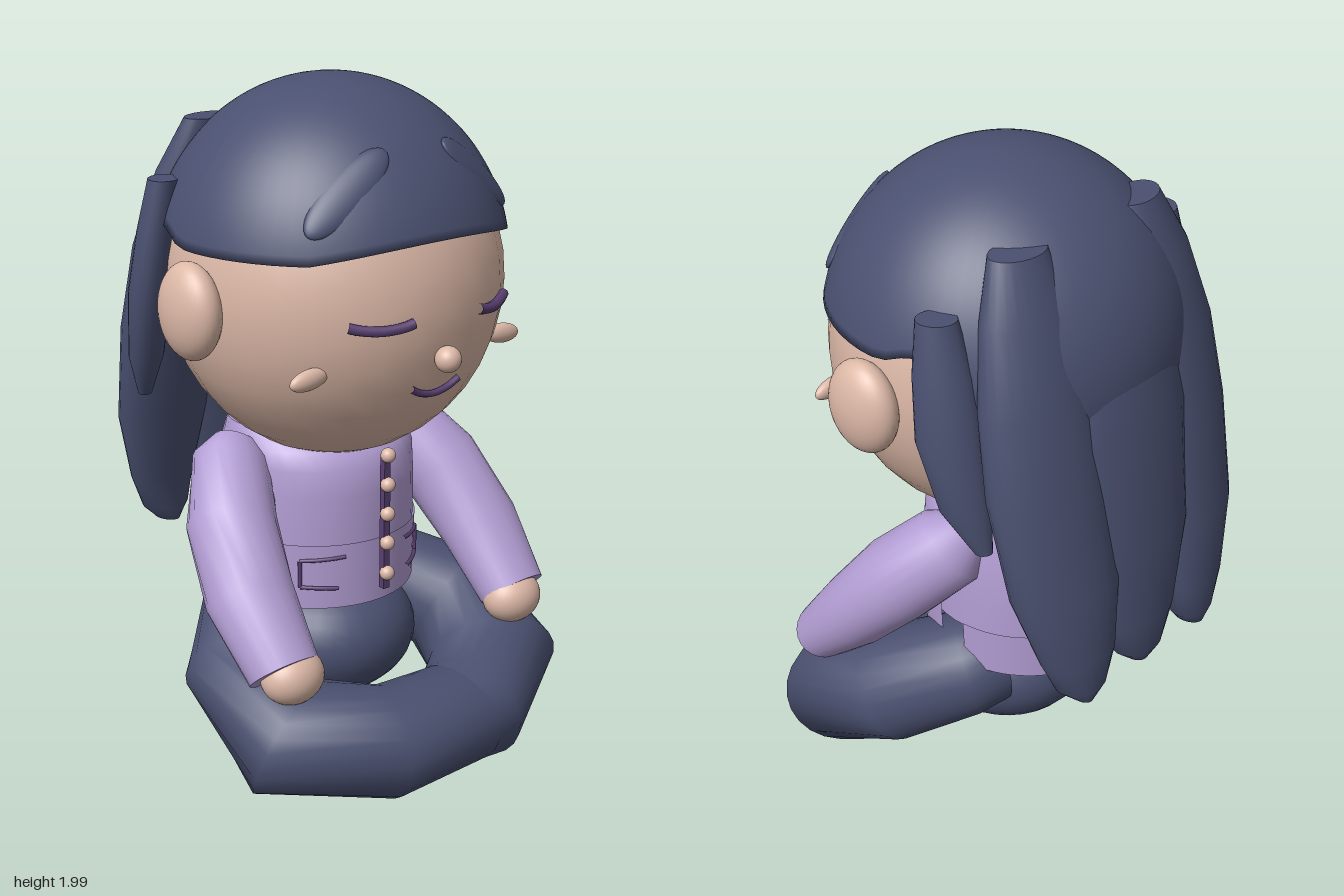
import * as THREE from 'three';

const mat = (name, color, side = THREE.FrontSide) => {
  const m = new THREE.MeshStandardMaterial({ color, side });
  m.name = name;
  return m;
};
const navy = mat('navy', 0x4a5070);
const skin = mat('skin', 0xdcb8a7);
const lilac = mat('lilac', 0xb39ed4, THREE.DoubleSide);
const plum = mat('plum', 0x583f70);
const V = (x, y, z) => new THREE.Vector3(x, y, z);

// Skin elliptical sections [x, y, z, a, b]. With a yaw the rings stay level,
// otherwise they turn to follow the path.
function loft(sections, yaw = null, sides = 24) {
  const pos = [], index = [];
  const centres = sections.map(s => V(s[0], s[1], s[2]));
  const n = sections.length;
  const rings = sections.map(([, , , a, b], i) => {
    const t = yaw !== null ? V(0, Math.sign(centres[n - 1].y - centres[0].y), 0) : V(0, 0, 0);
    if (yaw === null) {
      if (i > 0) t.add(centres[i].clone().sub(centres[i - 1]).normalize());
      if (i < n - 1) t.add(centres[i + 1].clone().sub(centres[i]).normalize());
      t.normalize();
    }
    const u = yaw !== null ? V(Math.cos(yaw), 0, Math.sin(yaw)) : t.clone().cross(V(0, 1, 0)).normalize();
    const v = t.clone().cross(u);
    return Array.from({ length: sides }, (_, j) => {
      const q = (j / sides) * Math.PI * 2;
      return centres[i].clone().addScaledVector(u, a * Math.cos(q)).addScaledVector(v, b * Math.sin(q));
    });
  });
  const push = p => pos.push(p.x, p.y, p.z);
  rings.forEach(r => r.forEach(push));
  for (let i = 0; i < n - 1; i++) {
    for (let j = 0; j < sides; j++) {
      const k = (j + 1) % sides, A = i * sides, B = A + sides;
      index.push(A + j, A + k, B + j, A + k, B + k, B + j);
    }
  }
  // end caps
  [0, n - 1].forEach(e => {
    const base = pos.length / 3;
    rings[e].forEach(push);
    push(centres[e]);
    for (let j = 0; j < sides; j++) {
      const k = (j + 1) % sides;
      if (e === 0) index.push(base + sides, base + k, base + j);
      else index.push(base + sides, base + j, base + k);
    }
  });
  const g = new THREE.BufferGeometry();
  g.setAttribute('position', new THREE.Float32BufferAttribute(pos, 3));
  g.setIndex(index);
  g.computeVertexNormals();
  return g;
}

// Hair cap: a sphere cut off along a wavy hairline, with a lip turned inwards.
function hairCap() {
  const g = new THREE.SphereGeometry(1, 64, 28);
  const p = g.attributes.position;
  const cy = 1.47;
  for (let i = 0; i < p.count; i++) {
    const az = Math.atan2(p.getX(i), p.getZ(i)), q = Math.abs(az);
    const f = Math.min(1, Math.acos(THREE.MathUtils.clamp(p.getY(i), -1, 1)) / Math.PI);
    const line = 1.57 + 0.045 * (q < Math.PI / 4 ? Math.cos(2 * q) : 0)
      + 0.04 * Math.exp(-(((q - 1.85) / 0.15) ** 2))
      - 0.25 * THREE.MathUtils.smoothstep(q, 2.0, 2.5);
    const max = Math.acos((line - cy) / 0.53);
    const lip = f > 0.99;
    const th = Math.min(1, f / 0.964) * max;
    const r = Math.sin(th) * (lip ? 0.85 : 1);
    p.setXYZ(i, Math.sin(az) * r * 0.512, cy + 0.53 * Math.cos(th), Math.cos(az) * r * 0.508 - 0.014);
  }
  g.computeVertexNormals();
  return g;
}

export function createModel() {
  const root = new THREE.Group();
  root.name = 'seatedFigure';
  const add = (name, geo, material, x = 0, y = 0, z = 0) => {
    const m = new THREE.Mesh(geo, material);
    m.name = name;
    m.position.set(x, y, z);
    root.add(m);
    return m;
  };
  const ball = (name, material, x, y, z, rx, ry = rx, rz = rx) =>
    add(name, new THREE.SphereGeometry(1, 32, 20).scale(rx, ry, rz), material, x, y, z);
  const line = (name, pts, r) => add(name,
    new THREE.TubeGeometry(new THREE.CatmullRomCurve3(pts), 16, r, 8), plum);

  // Head and face
  const onHead = (x, y, d) => V(x, y, 0.485 * Math.sqrt(1 - (x / 0.488) ** 2 - ((y - 1.43) / 0.52) ** 2) + d);
  ball('head', skin, 0, 1.43, 0, 0.488, 0.52, 0.485);
  ball('nose', skin, 0, 1.29, 0.49, 0.037);
  line('mouth', [-0.085, -0.05, 0, 0.05, 0.085].map(x => onHead(x, 1.18 + 4 * x * x, 0.008)), 0.01);
  add('hairCap', hairCap(), navy);

  // Torso, level sections from waist to collar
  add('torso', loft([
    [0, 0.62, -0.1, 0.3, 0.302], [0, 0.72, -0.1, 0.3, 0.306], [0, 0.82, -0.095, 0.298, 0.3],
    [0, 0.9, -0.085, 0.29, 0.285], [0, 0.95, -0.09, 0.28, 0.255], [0, 1.0, -0.12, 0.26, 0.2],
  ], 0, 40), lilac);

  // Jacket skirt, split at both sides; the front panel reaches higher
  [['jacketFront', -1.38, 2.76, 0.68], ['jacketBack', 1.68, 2 * Math.PI - 3.36, 0.63]].forEach(
    ([name, start, len, top]) => {
      const g = new THREE.CylinderGeometry(1, 0.98, top - 0.48, 36, 1, true, start, len);
      add(name, g.scale(0.305, 1, 0.312), lilac, 0, (top + 0.48) / 2, -0.1);
    });

  // Placket, buttons
  add('placket', new THREE.BoxGeometry(0.022, 0.41, 0.02), plum, 0, 0.735, 0.236);
  [0.945, 0.855, 0.765, 0.675, 0.58].forEach(y => ball('button', skin, 0, y, 0.248, 0.022));

  // Hips
  ball('hips', navy, 0, 0.32, -0.03, 0.27, 0.2, 0.265);

  // Central lock of back hair
  add('backLock', loft([
    [0, 1.74, -0.36, 0.14, 0.06], [0, 1.6, -0.41, 0.19, 0.085], [0, 1.35, -0.46, 0.22, 0.095],
    [0, 1.0, -0.51, 0.2, 0.095], [0, 0.74, -0.54, 0.13, 0.07], [0, 0.62, -0.54, 0.085, 0.06],
    [0, 0.57, -0.54, 0.03, 0.035],
  ], 0), navy);

  for (const s of [1, -1]) {
    const side = s > 0 ? 'left' : 'right';
    const mirror = rows => rows.map(([x, ...rest]) => [x * s, ...rest]);

    ball(side + 'Ear', skin, s * 0.51, 1.41, 0.017, 0.07, 0.137, 0.117);
    ball(side + 'Cheek', skin, s * 0.35, 1.263, 0.332, 0.064, 0.029, 0.022).rotation.z = -s * 0.12;
    line(side + 'ClosedEye', [0.115, 0.14, 0.2, 0.255, 0.28].map(x =>
      onHead(s * x, 1.395 + 28 * (x - 0.198) ** 4 + 1.8 * (x - 0.198) ** 2, 0.01)), 0.015);

    // Fringe tuft, a low ridge lying along the hair cap
    const tuft = ball(side + 'FringeTuft', navy, s * 0.225, 1.745, 0.332, 0.06, 0.16, 0.024);
    tuft.lookAt(s * 1.085, 2.735, 1.7);
    tuft.rotateZ(s * 0.75);

    // Long and short locks of hair
    add(side + 'LongLock', loft(mirror([
      [0.23, 1.87, -0.275, 0.085, 0.055], [0.25, 1.72, -0.325, 0.135, 0.08], [0.27, 1.5, -0.38, 0.17, 0.095],
      [0.28, 1.25, -0.43, 0.18, 0.1], [0.27, 0.95, -0.495, 0.17, 0.095], [0.255, 0.73, -0.535, 0.12, 0.068],
      [0.245, 0.62, -0.54, 0.08, 0.06], [0.24, 0.57, -0.54, 0.03, 0.045],
    ]), s * 0.22), navy);
    add(side + 'ShortLock', loft(mirror([
      [0.44, 1.73, -0.195, 0.055, 0.045], [0.45, 1.58, -0.225, 0.08, 0.055], [0.46, 1.4, -0.255, 0.09, 0.06],
      [0.45, 1.2, -0.3, 0.07, 0.05], [0.43, 1.07, -0.345, 0.025, 0.02],
    ]), s * 0.8), navy);

    // Sleeve and hand
    add(side + 'Sleeve', loft(mirror([
      [0.265, 0.935, -0.115, 0.075, 0.08], [0.305, 0.895, -0.09, 0.115, 0.125], [0.395, 0.765, 0.03, 0.13, 0.13],
      [0.437, 0.6, 0.17, 0.13, 0.115], [0.437, 0.43, 0.325, 0.108, 0.09],
    ])), lilac);
    ball(side + 'Hand', skin, s * 0.42, 0.42, 0.34, 0.095, 0.08, 0.08);

    // Folded leg; the right shin runs across the front
    const shin = s > 0
      ? [[0.17, 0.16, 0.43, 0.175, 0.155], [0.0, 0.155, 0.43, 0.15, 0.135]]
      : [[0.16, 0.165, 0.435, 0.177, 0.158], [-0.13, 0.16, 0.43, 0.165, 0.145], [-0.2, 0.16, 0.42, 0.13, 0.12]];
    add(side + 'Leg', loft(mirror([
      [0.15, 0.42, -0.13, 0.13, 0.14], [0.24, 0.41, -0.08, 0.16, 0.16], [0.39, 0.33, 0.08, 0.178, 0.175],
      [0.398, 0.2, 0.286, 0.198, 0.18], ...shin,
    ])), navy);

    // Pocket outline: top, outer edge and bottom
    const onJacket = (x, y) => V(s * x, y, -0.1 + 0.314 * Math.sqrt(1 - (x / 0.305) ** 2));
    const pocket = (a, b) => line(side + 'PocketTrim',
      [0, 0.33, 0.67, 1].map(t => onJacket(a[0] + (b[0] - a[0]) * t, a[1] + (b[1] - a[1]) * t)), 0.006);
    pocket([0.11, 0.642], [0.22, 0.632]);
    pocket([0.22, 0.632], [0.22, 0.55]);
    pocket([0.22, 0.55], [0.13, 0.545]);
  }
  return root;
}
